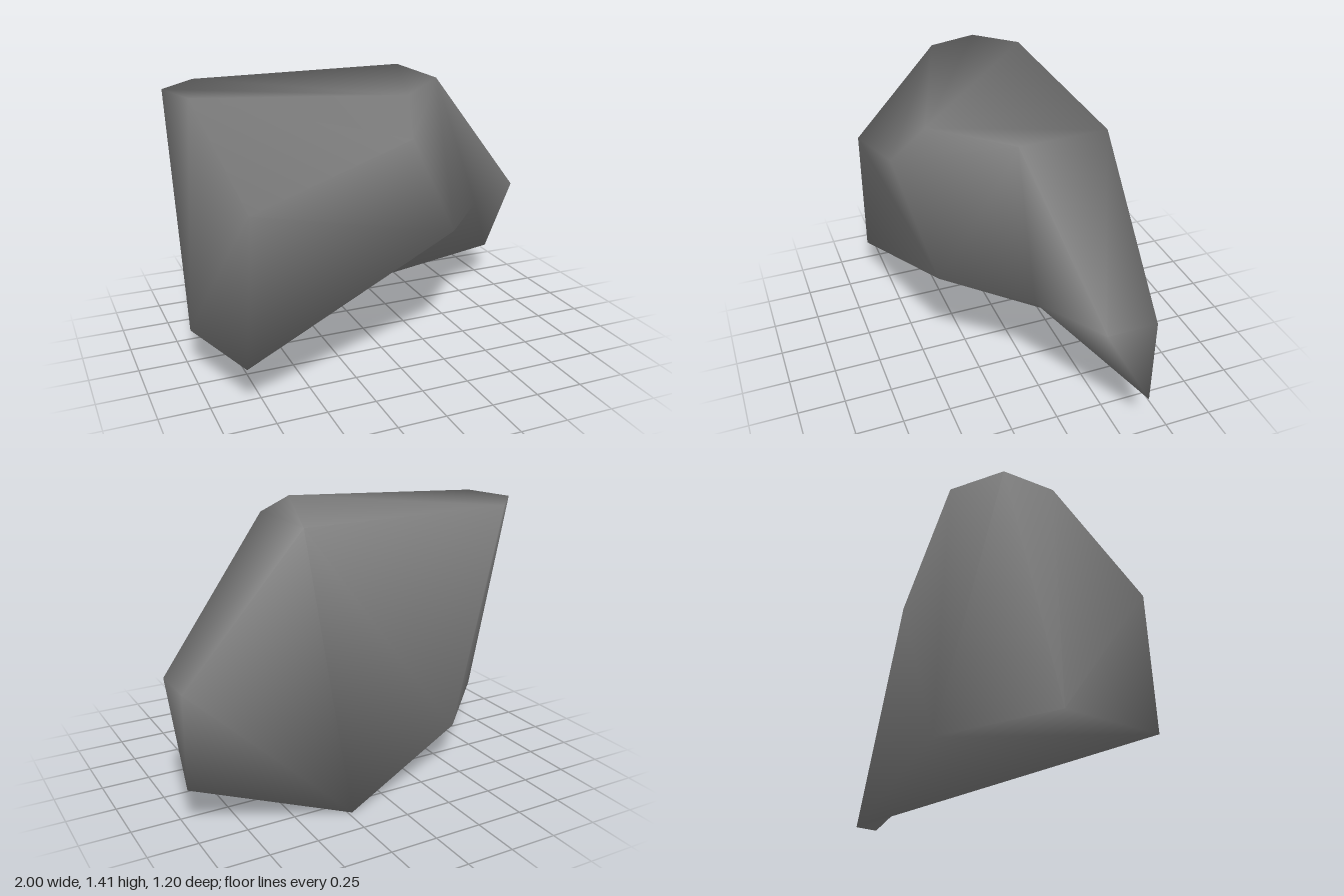
import * as THREE from 'three';

export function createModel() {
  const group = new THREE.Group();
  group.name = 'rock';

  const stone = new THREE.MeshStandardMaterial({ color: 0x7a7a7a });
  stone.name = 'grey stone';

  // Corners of the boulder
  const corners = [
    // flat top rim: back left, left, front left, front, right, back right
    [-0.8, 1.41, -0.38], [-1, 1.41, -0.17], [-0.93, 1.41, 0.1],
    [0.05, 1.41, 0.43], [0.38, 1.41, 0.08], [0.37, 1.41, -0.38],
    // right end: back upper, back lower, front upper
    [1, 0.7, -0.38], [1, 0.22, -0.38], [1, 0.7, -0.12],
    // waist of the front right side
    [0.64, 0.69, 0.09], [0.3, 0.7, 0.47],
    // front face: upper right, upper left, lower left
    [0, 1.24, 0.6], [-0.8, 0.97, 0.6], [-0.84, 0.22, 0.6],
    // foot: left, lowest back point, back left
    [-0.99, 0.22, 0.09], [0.23, 0, -0.6], [-0.53, 0.22, -0.38],
  ];

  // Each side is a list of facets, turned outward
  const sides = {
    top: [[3, 4, 5, 0, 1, 2]],
    back: [[5, 16, 0], [5, 15, 16], [5, 6, 15], [6, 7, 15]],
    left: [[0, 16, 1], [1, 16, 14], [1, 14, 2], [2, 14, 12], [14, 13, 12]],
    front: [[2, 12, 11], [2, 11, 3], [12, 13, 10], [12, 10, 11]],
    right: [[3, 11, 4], [11, 10, 4], [10, 9, 4], [4, 9, 8], [4, 8, 5], [5, 8, 6], [8, 7, 6], [9, 7, 8]],
    underside: [[13, 15, 10], [10, 15, 9], [9, 15, 7], [13, 14, 16], [13, 16, 15]],
  };

  // Fan every facet into triangles; shared corners give smooth shading
  const index = [];
  for (const facets of Object.values(sides)) {
    for (const f of facets) {
      for (let i = 1; i < f.length - 1; i++) index.push(f[0], f[i], f[i + 1]);
    }
  }

  const geometry = new THREE.BufferGeometry();
  geometry.setAttribute('position', new THREE.Float32BufferAttribute(corners.flat(), 3));
  geometry.setIndex(index);
  geometry.computeVertexNormals();

  const boulder = new THREE.Mesh(geometry, stone);
  boulder.name = 'boulder';
  group.add(boulder);
  return group;
}
